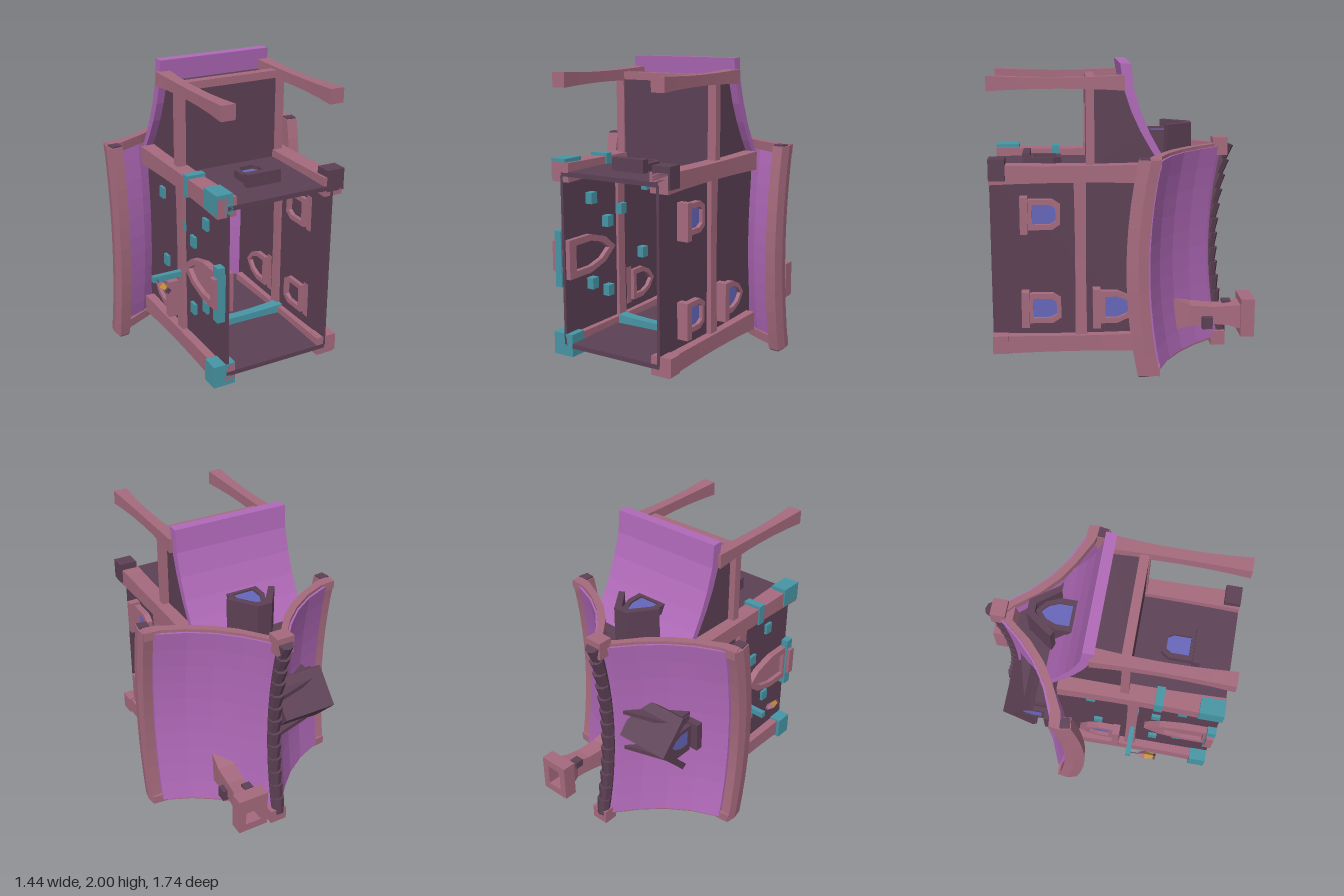
import * as THREE from 'three';

const PINK = 0xa56a7d, DARK = 0x5c4054, PURPLE = 0xb069b8, TEAL = 0x4795a5, BLUE = 0x6666bb, AMBER = 0xc08a30;
const mats = {};
const mat = c => mats[c] ??= new THREE.MeshStandardMaterial({ color: c, flatShading: true, side: THREE.DoubleSide });

function mesh(parent, name, geo, color, x = 0, y = 0, z = 0) {
  const m = new THREE.Mesh(geo, mat(color));
  m.name = name;
  m.position.set(x, y, z);
  parent.add(m);
  return m;
}
const box = (p, name, c, x, y, z, w, h, d) => mesh(p, name, new THREE.BoxGeometry(w, h, d), c, x, y, z);
const shapeOf = pts => new THREE.Shape(pts.map(([x, y]) => new THREE.Vector2(x, y)));
const mirror = (pts, s) => pts.map(([x, y]) => [x * s, y]);

function warp(geo, rule) {
  const p = geo.attributes.position, v = new THREE.Vector3();
  for (let i = 0; i < p.count; i++) {
    rule(v.fromBufferAttribute(p, i));
    p.setXYZ(i, v.x, v.y, v.z);
  }
  geo.computeVertexNormals();
  return geo;
}

// Hanging curve of the roof between its two gables
const sag = (z, amount = 0.075) => -amount * (1 - ((z - 0.74) / 0.7) ** 2);

// Profile in x,y run from z0 to z1; sagged pieces follow the roof
function run(p, name, c, pts, z0, z1, sagged = false) {
  const geo = new THREE.ExtrudeGeometry(shapeOf(pts), { depth: z1 - z0, steps: sagged ? 10 : 1, bevelEnabled: false });
  geo.translate(0, 0, z0);
  if (sagged) warp(geo, v => { v.y += sag(v.z); });
  return mesh(p, name, geo, c);
}
// Profile in z,y run across from x0 to x1
function across(p, name, c, pts, x0, x1) {
  const geo = new THREE.ExtrudeGeometry(shapeOf(pts), { depth: x1 - x0, bevelEnabled: false });
  geo.rotateY(-Math.PI / 2).translate(x1, 0, 0);
  return mesh(p, name, geo, c);
}
// Timber along y, slimmer in the middle
function timber(p, name, c, w, len, d, waist, x, y, z) {
  const geo = warp(new THREE.BoxGeometry(w, len, d, 1, 6, 1), v => {
    const s = 1 - waist * (1 - (2 * v.y / len) ** 2);
    v.x *= s; v.z *= s;
  });
  return mesh(p, name, geo, c, x, y, z);
}

// Window or door facing +z with its foot at the origin
function opening(p, name, w, h, pointed, frameColor, paneColor, depth = 0.09, sill = true) {
  const g = new THREE.Group();
  g.name = name;
  const half = pointed ? [[w, 0], [w, h * 0.45], [w * 0.65, h * 0.78]] : [[w, 0], [w, h * 0.75], [w * 0.65, h]];
  const left = mirror(half, -1).reverse();
  const pts = pointed ? [...half, [0, h], ...left] : [...half, ...left];
  const inner = pts.map(([x, y]) => [x * 0.66, h / 2 + (y - h / 2) * 0.72]);
  const frame = shapeOf(pts);
  frame.holes.push(shapeOf(inner));
  mesh(g, 'frame', new THREE.ExtrudeGeometry(frame, { depth, bevelEnabled: false }), frameColor, 0, 0, -depth * 0.55);
  mesh(g, 'pane', new THREE.ShapeGeometry(shapeOf(inner)), paneColor, 0, 0, 0.015);
  if (sill) box(g, 'sill', frameColor, 0, -0.022, 0.025, w * 2.4, 0.05, 0.1);
  p.add(g);
  return g;
}
function place(g, x, y, z, turn = 0) {
  g.position.set(x, y, z);
  g.rotation.y = turn;
}

export function createModel() {
  const root = new THREE.Group();
  root.name = 'cottage';
  const house = new THREE.Group();
  house.name = 'house';
  house.rotation.x = -Math.PI / 2; // the house lies on its back wall
  root.add(house);

  // Walls, open underneath
  const gable = [[-0.37, -0.87], [0.37, -0.87], [0.37, 0.28], [0.2, 0.4], [0, 0.62], [-0.2, 0.4], [-0.37, 0.28]];
  run(house, 'frontWall', DARK, gable, 1.28, 1.31);
  run(house, 'backWall', DARK, gable, 0.15, 0.18);
  for (const s of [-1, 1]) {
    box(house, 'sideWall', DARK, s * 0.365, -0.31, 0.73, 0.02, 1.12, 1.12);
    // Corner posts and side beam
    for (const z of [1.305, 0.17]) timber(house, 'cornerPost', PINK, 0.13, 1.08, 0.125, 0.14, s * 0.375, -0.33, z);
    timber(house, 'sideBeam', PINK, 0.08, 1.06, 0.08, 0.12, s * 0.37, -0.29, 0.73).rotation.x = Math.PI / 2;
  }
  timber(house, 'backBeam', TEAL, 0.08, 0.66, 0.14, 0.2, 0.02, -0.33, 0.17).rotation.z = Math.PI / 2;

  // Post feet and bands
  box(house, 'postFoot', DARK, 0.39, -0.817, 1.34, 0.125, 0.106, 0.14);
  box(house, 'postFoot', TEAL, -0.39, -0.79, 1.325, 0.11, 0.16, 0.13);
  box(house, 'postFoot', TEAL, -0.385, -0.81, 0.165, 0.15, 0.12, 0.15);
  box(house, 'postFoot', PINK, 0.39, -0.82, 0.175, 0.13, 0.1, 0.12);
  box(house, 'postBand', TEAL, -0.375, -0.45, 1.31, 0.13, 0.055, 0.14);

  // Main roof, verges and eaves
  const roof = [[0, 0.72], [0.06, 0.66], [0.17, 0.525], [0.3, 0.4], [0.45, 0.3], [0.64, 0.22],
    [0.64, 0.175], [0.45, 0.25], [0.3, 0.35], [0.17, 0.47], [0.05, 0.6], [0, 0.65]];
  const verge = [[0, 0.69], [0.06, 0.635], [0.17, 0.5], [0.3, 0.38], [0.45, 0.28], [0.6, 0.215], [0.71, 0.205],
    [0.69, 0.13], [0.6, 0.15], [0.43, 0.235], [0.3, 0.315], [0.17, 0.43], [0.05, 0.58], [0, 0.62]];
  const eave = [[0.63, 0.075], [0.705, 0.065], [0.72, 0.14], [0.71, 0.205], [0.64, 0.2]];
  const eaveEnd = [[0.635, 0.078], [0.7, 0.07], [0.71, 0.135], [0.64, 0.14]];
  for (const s of [-1, 1]) {
    run(house, 'roofSlope', PURPLE, mirror(roof, s), 0.06, 1.42, true);
    run(house, 'eaveBeam', PINK, mirror(eave, s), 0.045, 1.435, true);
    for (const z of [0.04, 1.38]) run(house, 'vergeBoard', PINK, mirror(verge, s), z, z + 0.06);
    for (const z of [0.036, 1.434]) run(house, 'eaveEnd', DARK, mirror(eaveEnd, s), z, z + 0.01);
  }
  run(house, 'ridgeBeam', PINK, [[-0.045, 0.58], [0.045, 0.58], [0.03, 0.67], [-0.03, 0.67]], 0.05, 1.42, true);
  box(house, 'ridgeEnd', PINK, 0, 0.67, 1.42, 0.12, 0.1, 0.12);
  box(house, 'ridgeEnd', PINK, 0.01, 0.68, 0.05, 0.12, 0.1, 0.1);

  // Overlapping ridge tiles
  const tiles = 13;
  for (let i = 0; i < tiles; i++) {
    const z = 0.12 + 1.26 * i / (tiles - 1);
    const tile = mesh(house, 'ridgeTile', new THREE.CylinderGeometry(0.05, 0.043, 0.125, 8), DARK, 0, 0.715 + sag(z, 0.1), z);
    tile.rotation.x = Math.PI / 2 - Math.atan(0.2 * (z - 0.74) / 0.49) - 0.14;
  }

  // Jettied upper room with its swept roof
  const cheek = [[1.3, -0.24], [1.86, -0.24], [1.86, -0.01], [1.7, 0.05], [1.57, 0.11], [1.45, 0.19], [1.3, 0.28]];
  across(house, 'upperRoom', DARK, cheek, -0.345, 0.345);
  const sweep = [[2, 0.04], [1.85, 0.055], [1.7, 0.1], [1.56, 0.16], [1.45, 0.22], [1.31, 0.31],
    [1.31, 0.26], [1.44, 0.175], [1.57, 0.1], [1.7, 0.04], [1.85, -0.01], [2, -0.03]];
  across(house, 'upperRoomRoof', PURPLE, sweep, -0.395, 0.395);
  box(house, 'upperRoomBeam', PINK, 0, -0.212, 1.875, 0.68, 0.06, 0.05);
  for (const s of [-1, 1]) {
    timber(house, 'porchPost', PINK, 0.095, 0.87, 0.095, 0.28, s * 0.37, -0.435, 1.88);
    box(house, 'upperRoomSideBeam', PINK, s * 0.36, -0.222, 1.59, 0.06, 0.055, 0.54);
  }

  // Attic window with small hood
  place(opening(house, 'atticWindow', 0.11, 0.27, true, DARK, BLUE, 0.06, false), 0, 0.155, 1.515);
  run(house, 'atticWindowBody', DARK, [[-0.1, 0.16], [0.1, 0.16], [0.1, 0.29], [0, 0.42], [-0.1, 0.29]], 1.3, 1.51);
  run(house, 'atticHood', DARK, [[-0.05, 0.47], [0.05, 0.47], [0.175, 0.295], [0.14, 0.275], [0.03, 0.42], [-0.03, 0.42], [-0.14, 0.275], [-0.175, 0.295]], 1.3, 1.585);

  // Windows, and the door on the right-hand wall
  place(opening(house, 'frontWindow', 0.1, 0.21, false, DARK, BLUE), 0, -0.62, 1.32);
  for (const z of [1.04, 0.41]) place(opening(house, 'sideWindow', 0.1, 0.21, false, PINK, BLUE), 0.377, -0.63, z, Math.PI / 2);
  place(opening(house, 'pointedWindow', 0.11, 0.25, true, PINK, BLUE), 0.377, -0.165, 0.41, Math.PI / 2);
  place(opening(house, 'pointedWindow', 0.11, 0.25, true, PINK, BLUE), -0.377, -0.165, 0.4, -Math.PI / 2);
  place(opening(house, 'door', 0.13, 0.48, true, PINK, PINK, 0.1, false), -0.377, -0.86, 0.735, -Math.PI / 2);
  box(house, 'doorStep', TEAL, -0.41, -0.84, 0.735, 0.05, 0.06, 0.37);
  box(house, 'doorStep', PINK, -0.43, -0.84, 0.75, 0.06, 0.05, 0.2);
  for (const [y, z] of [[-0.45, 0.44], [-0.3, 0.98], [-0.62, 1.105], [-0.62, 0.53], [-0.45, 0.92], [0.0, 1.1], [-0.05, 0.62]])
    box(house, 'wallStone', TEAL, -0.35, y, z, 0.09, 0.06, 0.075);

  // Lantern on its arm
  const lamp = new THREE.Group();
  lamp.name = 'lantern';
  lamp.position.set(-0.587, 0, 0.635);
  house.add(lamp);
  box(house, 'lanternArm', TEAL, -0.5, -0.3, 0.635, 0.22, 0.035, 0.04);
  mesh(lamp, 'chain', new THREE.CylinderGeometry(0.004, 0.004, 0.07, 5), DARK, 0, -0.345);
  mesh(lamp, 'cap', new THREE.CylinderGeometry(0.014, 0.03, 0.045, 4), PINK, 0, -0.395);
  mesh(lamp, 'glass', new THREE.CylinderGeometry(0.028, 0.018, 0.06, 4), AMBER, 0, -0.447);
  mesh(lamp, 'base', new THREE.CylinderGeometry(0.022, 0.022, 0.016, 4), DARK, 0, -0.485);

  // Dormer on the right-hand slope
  across(house, 'dormerRoof', DARK, [[0.74, 0.615], [0.95, 0.42], [0.925, 0.385], [0.74, 0.555], [0.555, 0.385], [0.53, 0.42]], -0.48, -0.1);
  across(house, 'dormerFace', DARK, [[0.6, 0.29], [0.88, 0.29], [0.88, 0.44], [0.74, 0.57], [0.6, 0.44]], -0.425, -0.395);
  place(opening(house, 'dormerWindow', 0.085, 0.22, true, DARK, BLUE, 0.05), -0.435, 0.31, 0.74, -Math.PI / 2);
  for (const z of [0.58, 0.87]) run(house, 'dormerCheek', DARK, [[-0.42, 0.28], [-0.42, 0.46], [-0.08, 0.56], [-0.2, 0.43]], z, z + 0.03);

  // Crooked chimney: y, x range, z range per level
  const levels = [[0.33, 0.16, 0.31, 0.2, 0.43], [0.45, 0.2, 0.325, 0.235, 0.38], [0.6, 0.22, 0.335, 0.25, 0.37],
    [0.7, 0.24, 0.35, 0.245, 0.38], [0.785, 0.215, 0.385, 0.23, 0.395]];
  const shaft = warp(new THREE.BoxGeometry(1, 1, 1, 1, 4, 1), v => {
    const [y, x0, x1, z0, z1] = levels[Math.round((v.y + 0.5) * 4)];
    v.set(v.x > 0 ? x1 : x0, y, v.z > 0 ? z1 : z0);
  });
  mesh(house, 'chimneyShaft', shaft, PINK);
  const rect = (w, d) => shapeOf([[-w, -d], [w, -d], [w, d], [-w, d]]);
  const cap = rect(0.105, 0.13);
  cap.holes.push(rect(0.055, 0.075));
  const capGeo = new THREE.ExtrudeGeometry(cap, { depth: 0.092, bevelEnabled: false }).rotateX(-Math.PI / 2);
  mesh(house, 'chimneyCap', capGeo, PINK, 0.295, 0.778, 0.31);
  box(house, 'chimneyStone', DARK, 0.245, 0.7, 0.37, 0.06, 0.06, 0.05);
  box(house, 'chimneyStone', DARK, 0.345, 0.56, 0.265, 0.045, 0.07, 0.08);

  return root;
}
